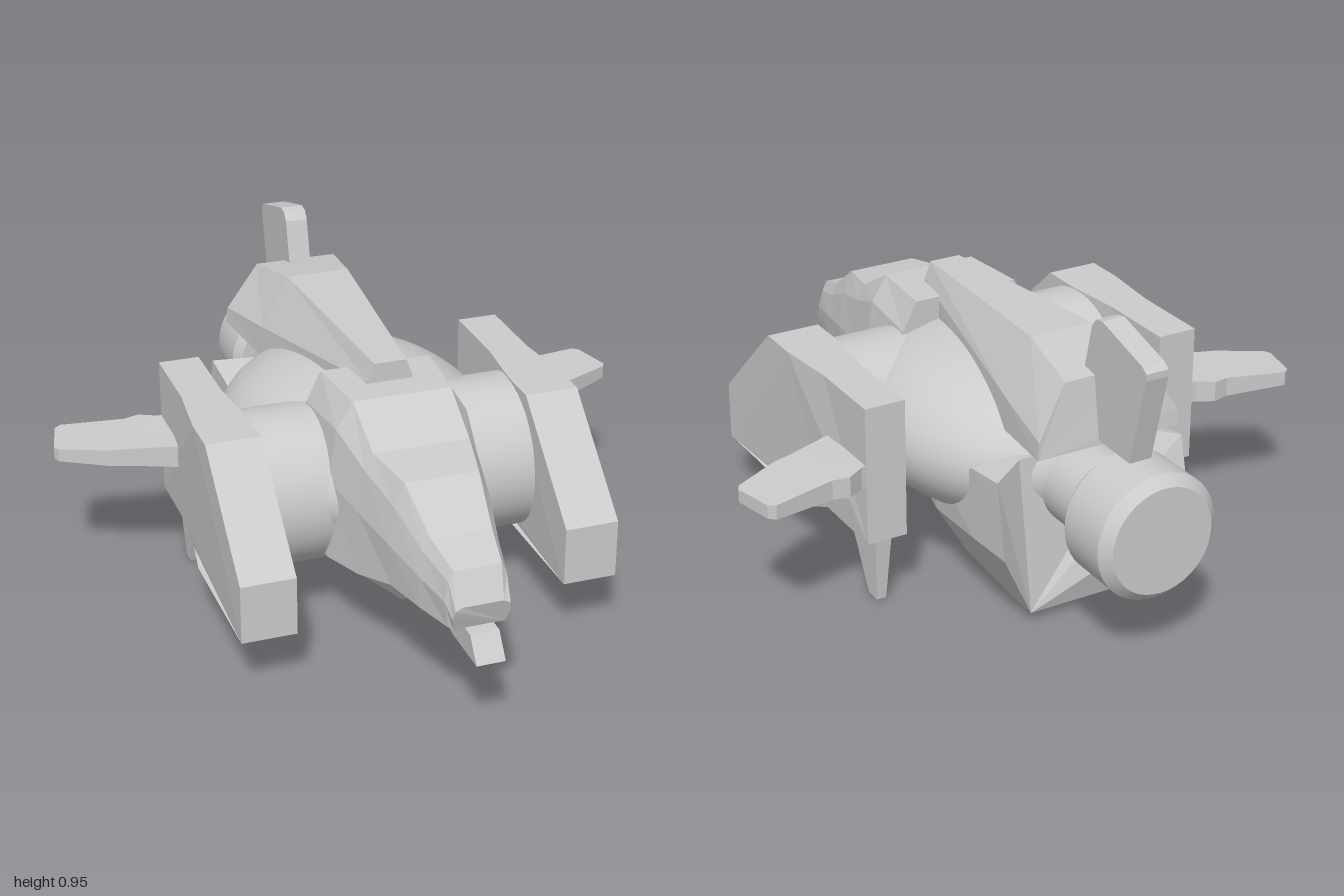
import * as THREE from 'three';

const flat = new THREE.MeshStandardMaterial({ color: 0xcccccc, flatShading: true });
const smooth = new THREE.MeshStandardMaterial({ color: 0xcccccc });

function add(parent, name, geometry, material = flat) {
  const mesh = new THREE.Mesh(geometry, material);
  mesh.name = name;
  parent.add(mesh);
  return mesh;
}

// Skin a symmetric hull: each section lists [x, y, zOffset] for the +x half, bottom to top.
function loft(sections) {
  const rings = sections.map(({ z, half }) => {
    const right = half.map(([x, y, dz = 0]) => [x, y, z + dz]);
    return [...right, ...right.map(([x, y, d]) => [-x, y, d]).reverse()];
  });
  const n = rings[0].length;
  const out = [];
  for (let i = 0; i < rings.length - 1; i++) {
    for (let j = 0; j < n; j++) {
      const k = (j + 1) % n;
      const a = rings[i][j], b = rings[i][k], c = rings[i + 1][j], d = rings[i + 1][k];
      out.push(...a, ...c, ...b, ...b, ...c, ...d);
    }
  }
  const first = rings[0], last = rings[rings.length - 1];
  for (let j = 1; j < n - 1; j++) {
    out.push(...first[0], ...first[j], ...first[j + 1]);
    out.push(...last[0], ...last[j + 1], ...last[j]);
  }
  const g = new THREE.BufferGeometry();
  g.setAttribute('position', new THREE.Float32BufferAttribute(out, 3));
  g.computeVertexNormals();
  return g;
}

function extrude(points, depth) {
  const shape = new THREE.Shape(points.map(([x, y]) => new THREE.Vector2(x, y)));
  return new THREE.ExtrudeGeometry(shape, { depth, bevelEnabled: false }).translate(0, 0, -depth / 2);
}

// Side profile in (z, y), thickness along x.
const sidePlate = (points, width) => extrude(points, width).rotateY(-Math.PI / 2);

// Move every vertex with a rule.
function reshape(g, rule) {
  const p = g.attributes.position;
  const v = new THREE.Vector3();
  for (let i = 0; i < p.count; i++) {
    rule(v.fromBufferAttribute(p, i));
    p.setXYZ(i, v.x, v.y, v.z);
  }
  g.computeVertexNormals();
  return g;
}

export function createModel() {
  const ship = new THREE.Group();
  ship.name = 'spacecraft';

  // Faceted cockpit nose
  add(ship, 'noseHull', loft([
    { z: 0.91, half: [[0.075, 0.32], [0.085, 0.36, 0.015], [0.08, 0.39, 0.025], [0.06, 0.4, 0.025]] },
    { z: 0.89, half: [[0.085, 0.32], [0.095, 0.4], [0.085, 0.46], [0.07, 0.49]] },
    { z: 0.77, half: [[0.12, 0.32], [0.125, 0.42], [0.11, 0.49], [0.09, 0.53]] },
    { z: 0.62, half: [[0.15, 0.315], [0.16, 0.45], [0.14, 0.56], [0.11, 0.63]] },
    { z: 0.46, half: [[0.19, 0.27], [0.19, 0.47], [0.17, 0.6], [0.145, 0.65]] },
    { z: 0.3, half: [[0.23, 0.25], [0.225, 0.5], [0.2, 0.66], [0.15, 0.74]] },
    { z: 0.07, half: [[0.245, 0.25], [0.235, 0.5], [0.215, 0.65], [0.17, 0.74]] },
  ]));
  add(ship, 'chinProbe', sidePlate(
    [[1, 0.25], [0.95, 0.32], [0.57, 0.33], [0.57, 0.27], [0.78, 0.265], [0.82, 0.25]], 0.085));

  // Rounded middle of the body
  const body = add(ship, 'roundBody', new THREE.SphereGeometry(1, 40, 28), smooth);
  body.scale.set(0.42, 0.26, 0.53);
  body.position.set(0, 0.43, -0.1);

  // Wedge-shaped lower hull
  add(ship, 'keel', loft([
    { z: 0.5, half: [[0.07, 0.185], [0.09, 0.24, 0.04], [0.1, 0.3, 0.07], [0.08, 0.33, 0.07]] },
    { z: -0.23, half: [[0.17, 0.04], [0.27, 0.21], [0.28, 0.36], [0.2, 0.44]] },
    { z: -0.5, half: [[0.18, 0.033], [0.3, 0.25], [0.3, 0.47], [0.2, 0.5]] },
    { z: -0.62, half: [[0.18, 0.03], [0.31, 0.27, -0.07], [0.305, 0.49, -0.02], [0.2, 0.51, 0.04]] },
  ]));

  // Raised back that widens to the tail
  add(ship, 'spine', loft([
    { z: 0.2, half: [[0.07, 0.7], [0.07, 0.745], [0.05, 0.8]] },
    { z: -0.47, half: [[0.19, 0.56], [0.185, 0.66], [0.1, 0.82]] },
    { z: -0.69, half: [[0.23, 0.58, -0.04], [0.225, 0.63, -0.035], [0.13, 0.78, -0.01]] },
  ]));
  add(ship, 'tailFin', sidePlate(
    [[-0.6, 0.6], [-0.65, 0.79], [-0.68, 0.92], [-0.7, 0.945], [-0.73, 0.95],
      [-0.925, 0.895], [-0.945, 0.88], [-0.945, 0.86], [-0.88, 0.59]], 0.07));

  // Rear engine
  const enginePoints = [[0, -0.5], [0.13, -0.5], [0.13, -0.775], [0.165, -0.775],
    [0.19, -0.805], [0.19, -0.97], [0.16, -1], [0, -1]];
  for (let i = 0; i < enginePoints.length - 1; i++) {
    const pair = [enginePoints[i + 1], enginePoints[i]].map(([r, z]) => new THREE.Vector2(r, z));
    const g = new THREE.LatheGeometry(pair, 40).rotateX(Math.PI / 2);
    add(ship, 'engineRing', g, smooth).position.y = 0.4;
  }

  // Drum joining the two side pods
  const drum = new THREE.CylinderGeometry(0.237, 0.237, 0.86, 48).rotateZ(Math.PI / 2);
  add(ship, 'crossDrum', drum, smooth).position.set(0, 0.408, 0.1);

  for (const side of [1, -1]) {
    const pod = new THREE.Group();
    pod.name = side > 0 ? 'leftPod' : 'rightPod';
    ship.add(pod);

    // Angular pod, thinner towards the rear
    const shell = sidePlate([[0.57, 0.18], [0.57, 0.36], [0.25, 0.65], [0.12, 0.65], [-0.08, 0.65],
      [-0.34, 0.65], [-0.34, 0.222], [-0.08, 0.222], [0, 0.185], [0.12, 0.18]], 0.165);
    reshape(shell, (v) => { if (v.z < 0.05) v.x *= 0.76; });
    add(pod, 'podShell', shell).position.x = side * 0.492;

    // Swept winglet, thinner at the tip
    const outline = [[0.5, -0.33], [0.57, -0.34], [0.62, -0.37], [0.67, -0.36], [0.86, -0.4], [0.88, -0.385],
      [0.91, -0.26], [0.9, -0.24], [0.76, -0.17], [0.7, -0.155], [0.56, -0.11], [0.5, -0.11]];
    const wing = extrude(outline.map(([x, z]) => [side * x, -z]), 0.07).rotateX(-Math.PI / 2);
    reshape(wing, (v) => { v.y *= 1 - 1.2 * Math.max(0, Math.abs(v.x) - 0.55); });
    add(pod, 'winglet', wing).position.y = 0.438;

    // Tapered landing foot
    const foot = new THREE.BoxGeometry(0.058, 0.26, 0.18).translate(0, 0.13, 0);
    reshape(foot, (v) => {
      if (v.y < 0.1) { v.x *= 0.52; v.z = v.z * 0.28 - 0.04; }
    });
    add(pod, 'landingFoot', foot).position.set(side * 0.49, 0, -0.225);
  }
  return ship;
}
